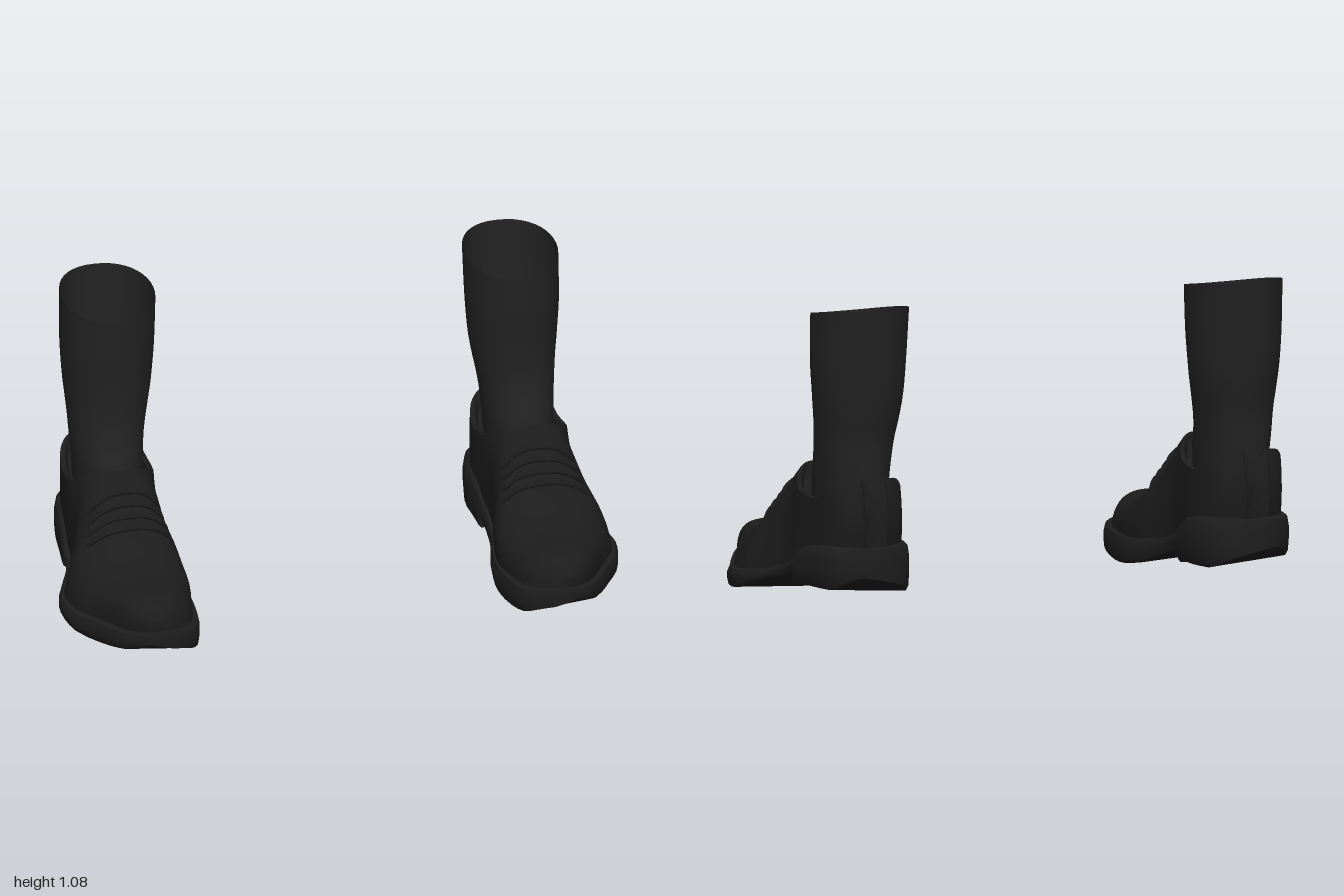
import * as THREE from 'three';
import { toCreasedNormals } from 'three/addons/utils/BufferGeometryUtils.js';

const mat = (name, color) => new THREE.MeshStandardMaterial({ name, color, side: THREE.DoubleSide });

// Smooth monotone interpolation through rows [key, value, value...], keys ascending
function sample(rows, k, col = 1) {
  const n = rows.length;
  if (k <= rows[0][0]) return rows[0][col];
  if (k >= rows[n - 1][0]) return rows[n - 1][col];
  let i = 0;
  while (rows[i + 1][0] < k) i++;
  const d = j => (rows[j + 1][col] - rows[j][col]) / (rows[j + 1][0] - rows[j][0]);
  const slope = j => {
    if (j === 0) return d(0);
    if (j === n - 1) return d(n - 2);
    const a = d(j - 1), b = d(j);
    return a * b <= 0 ? 0 : 2 * a * b / (a + b);
  };
  const h = rows[i + 1][0] - rows[i][0], t = (k - rows[i][0]) / h, t2 = t * t, t3 = t2 * t;
  return (2 * t3 - 3 * t2 + 1) * rows[i][col] + (t3 - 2 * t2 + t) * h * slope(i)
    + (3 * t2 - 2 * t3) * rows[i + 1][col] + (t3 - t2) * h * slope(i + 1);
}

// Skin closed rings of [x, y, z]; side = -1 mirrors in x
function loft(rings, side, capped, crease) {
  const list = rings.slice();
  if (capped) {
    const middle = ring => {
      const c = [0, 1, 2].map(a => ring.reduce((s, p) => s + p[a], 0) / ring.length);
      return ring.map(() => c);
    };
    list.unshift(middle(rings[0]));
    list.push(middle(rings[rings.length - 1]));
  }
  const n = list[0].length, pos = [], idx = [];
  list.forEach(r => r.forEach(p => pos.push(p[0] * side, p[1], p[2])));
  for (let r = 0; r < list.length - 1; r++) {
    for (let i = 0; i < n; i++) {
      const a = r * n + i, b = r * n + (i + 1) % n, c = a + n, d = b + n;
      if (side > 0) idx.push(a, b, c, b, d, c);
      else idx.push(a, c, b, b, c, d);
    }
  }
  const g = new THREE.BufferGeometry();
  g.setAttribute('position', new THREE.Float32BufferAttribute(pos, 3));
  g.setIndex(idx);
  g.computeVertexNormals();
  return crease ? toCreasedNormals(g, crease) : g;
}

// Sole plan: z, inner x, outer x
const OUTLINE = [[-0.5, 0.68, 0.80], [-0.46, 0.61, 0.865], [-0.4, 0.575, 0.895], [-0.3, 0.56, 0.91],
  [-0.2, 0.57, 0.92], [-0.1, 0.58, 0.925], [0, 0.575, 0.965], [0.1, 0.55, 1.0], [0.2, 0.54, 0.985],
  [0.3, 0.55, 0.93], [0.4, 0.57, 0.875], [0.46, 0.605, 0.83], [0.503, 0.68, 0.77]];
// Welt height along z
const SOLE_TOP = [[-0.5, 0.245], [-0.4, 0.25], [-0.25, 0.235], [-0.2, 0.21], [-0.16, 0.172], [-0.1, 0.15],
  [0, 0.12], [0.2, 0.105], [0.4, 0.112], [0.503, 0.125]];
// Underside: the heel block drops at z = -0.17
const SOLE_BOTTOM = [[-0.5, 0.135], [-0.4, 0.085], [-0.25, 0.083], [-0.178, 0.072], [-0.17, 0.115],
  [-0.1, 0.092], [0, 0.062], [0.1, 0.032], [0.27, 0.012], [0.42, 0.032], [0.503, 0.075]];
// Ridge height and side-wall roundness: z, height, exponent
const RIDGE = [[-0.485, 0.75, 0.5], [-0.3, 0.75, 0.5], [-0.2, 0.66, 0.55], [-0.12, 0.56, 0.65],
  [-0.05, 0.5, 0.75], [0.03, 0.405, 0.8], [0.1, 0.328, 0.8], [0.15, 0.283, 0.78], [0.2, 0.255, 0.75],
  [0.28, 0.232, 0.72], [0.38, 0.23, 0.7], [0.43, 0.212, 0.7], [0.46, 0.19, 0.7], [0.476, 0.165, 0.7]];
const COLLAR = [[-0.485, 0.485], [-0.45, 0.48], [-0.4, 0.45], [-0.29, 0.405], [-0.18, 0.42],
  [-0.1, 0.468], [-0.05, 0.5]];

// Point on the upper at station z and angle a (0 = outer edge, PI = inner edge)
function upperPoint(z, a) {
  const base = sample(SOLE_TOP, z) - 0.02, h = sample(RIDGE, z), e = sample(RIDGE, z, 2);
  const x0 = sample(OUTLINE, z * 1.05, 1) + 0.018, x1 = sample(OUTLINE, z * 1.05, 2) - 0.018;
  const t = Math.pow(Math.max(0, Math.sin(a)), e), c = Math.cos(a);
  const y = base + (h - base) * t, mid = (x0 + x1) / 2;
  const x = mid + (0.74 - mid) * t + Math.sign(c) * Math.pow(Math.abs(c), e) * (x1 - x0) / 2;
  const heel = THREE.MathUtils.smoothstep(-z, 0.3, 0.48);   // heel counter leans in at the top
  return [x, y, z + heel * 0.03 * Math.pow((y - 0.33) / 0.15, 2)];
}

function upperRing(z) {
  const base = sample(SOLE_TOP, z) - 0.02, h = sample(RIDGE, z), e = sample(RIDGE, z, 2);
  const rim = z < -0.05 ? Math.min(h, sample(COLLAR, z)) : h;
  const stop = rim >= h - 1e-6 ? Math.PI / 2 : Math.asin(Math.pow((rim - base) / (h - base), 1 / e));
  const outer = [], inner = [];
  const N = 14;
  for (let i = 0; i <= N; i++) {
    outer.push(upperPoint(z, stop * i / N));
    inner.unshift(upperPoint(z, Math.PI - stop * i / N));
  }
  // lining inside the collar
  const a = outer[N], b = inner[0], dip = Math.min(0.035, h - rim);
  const lining = [0.06, 0.1, 0.5, 0.9, 0.94].map((f, i) =>
    [a[0] + (b[0] - a[0]) * f, a[1] - (i % 4 ? dip : 0), a[2]]);
  return [...outer, ...lining, ...inner];
}

function soleRing(z) {
  const x0 = sample(OUTLINE, z, 1), x1 = sample(OUTLINE, z, 2);
  const top = sample(SOLE_TOP, z), bottom = sample(SOLE_BOTTOM, z), t = top - bottom, w = x1 - x0;
  const half = [[0.04, 0], [0.012, 0.1], [0, 0.4], [0, 0.7], [0.02, 0.93], [0.06, 1]];  // inset, height
  const at = (f, v) => {
    const x = x0 + w * f;
    return [x, bottom + t * v + (1 - v) * (f - 0.5) * 0.025, z];
  };
  return [...half.map(([i, v]) => at(1 - i, v)), ...half.map(([i, v]) => at(i, v)).reverse()];
}

function soleStations() {
  const zs = [-0.5, -0.49, -0.475, -0.46, -0.43, -0.4, -0.35, -0.3, -0.25, -0.21, -0.178, -0.17];
  for (let z = -0.14; z < 0.43; z += 0.04) zs.push(z);
  return [...zs, 0.44, 0.46, 0.475, 0.49, 0.503];
}

function upperStations() {
  const zs = [];
  for (let i = 0; i <= 56; i++) zs.push(-0.005 - 0.48 * Math.cos(Math.PI * i / 56));
  return [...zs, -0.05, -0.056, -0.065].sort((a, b) => a - b);
}

// Sock rings: height, front z, back z, inner x, outer x
const SOCK = [[0.34, -0.09, -0.43, 0.625, 0.855], [0.47, -0.097, -0.44, 0.615, 0.86],
  [0.53, -0.12, -0.44, 0.61, 0.865], [0.6, -0.138, -0.44, 0.6, 0.87], [0.68, -0.146, -0.455, 0.585, 0.877],
  [0.76, -0.145, -0.47, 0.573, 0.885], [0.9, -0.133, -0.486, 0.563, 0.892], [1.06, -0.125, -0.505, 0.558, 0.89]];

function sockRings() {
  const rings = [], N = 40;
  for (let r = 0; r <= 20; r++) {
    const y = 0.34 + 0.72 * r / 20, [f, b, l, o] = [1, 2, 3, 4].map(c => sample(SOCK, y, c));
    const slant = Math.pow(r / 20, 3), ring = [];
    for (let i = 0; i < N; i++) {
      const a = Math.PI * 2 * i / N, s = -Math.sin(a), c = Math.cos(a);
      const x = (l + o) / 2 + Math.sign(c) * Math.pow(Math.abs(c), 0.9) * (o - l) / 2;
      ring.push([x, y + slant * (0.005 - 0.027 * s - 0.007 * s * s), (f + b) / 2 + s * (f - b) / 2]);
    }
    rings.push(ring);
  }
  return rings;
}

export function createModel() {
  const leather = mat('black leather', 0x1c1c1d);
  const rubber = mat('black sole', 0x1e1e1e);
  const cloth = mat('dark sock', 0x222222);
  const model = new THREE.Group();
  model.name = 'shoesAndSocks';

  for (const side of [1, -1]) {
    const shoe = new THREE.Group();
    shoe.name = side > 0 ? 'leftShoe' : 'rightShoe';
    const add = (name, geometry, material) => {
      const mesh = new THREE.Mesh(geometry, material);
      mesh.name = name;
      shoe.add(mesh);
    };
    add('sole', loft(soleStations().map(soleRing), side, true, 0.75), rubber);
    add('upper', loft(upperStations().map(upperRing), side, true, 0.9), leather);
    add('sock', loft(sockRings(), side, false), cloth);

    // Four laces lying across the instep
    for (let i = 0; i < 4; i++) {
      const z = 0.09 - i * 0.029, points = [];
      for (let k = 0; k <= 10; k++) {
        const p = upperPoint(z, Math.PI * (0.27 + 0.46 * k / 10));
        const lift = k === 0 || k === 10 ? -0.008 : 0.005;
        points.push(new THREE.Vector3(p[0] * side, p[1] + lift, p[2] + lift));
      }
      add('lace' + (i + 1), new THREE.TubeGeometry(new THREE.CatmullRomCurve3(points), 24, 0.009, 8), leather);
    }
    model.add(shoe);
  }
  return model;
}
